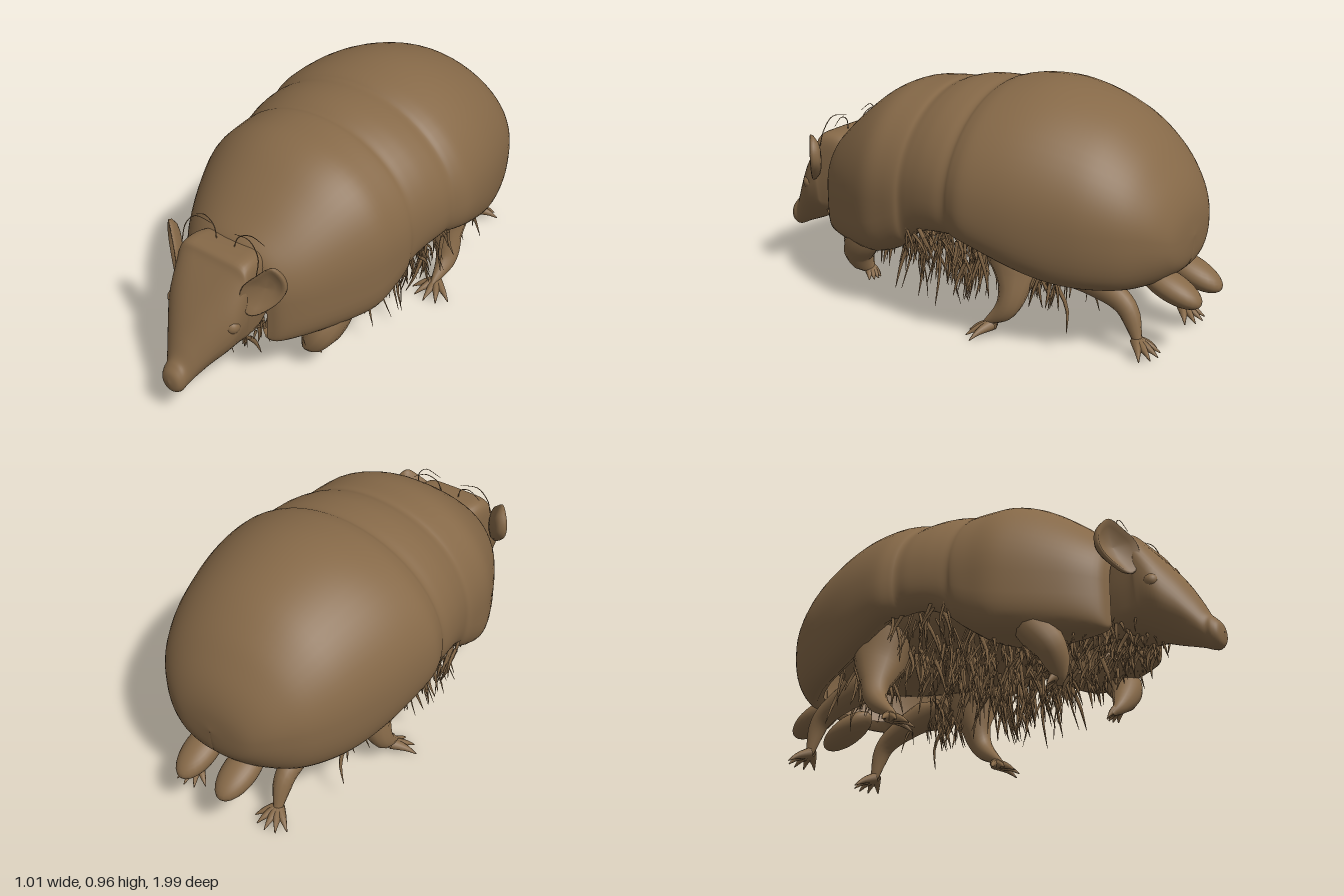
import * as THREE from 'three';
import { mergeGeometries } from 'three/addons/utils/BufferGeometryUtils.js';

const V = (x, y, z) => new THREE.Vector3(x, y, z);

// skin over a list of equally sized rings of points
function loft(rings, closed) {
  const n = rings[0].length, idx = [];
  for (let i = 0; i < rings.length - 1; i++) {
    for (let j = 0; j < (closed ? n : n - 1); j++) {
      const a = i * n + j, b = i * n + (j + 1) % n, c = a + n, d = b + n;
      idx.push(a, b, c, b, d, c);
    }
  }
  const g = new THREE.BufferGeometry().setFromPoints(rings.flat());
  g.setIndex(idx);
  g.computeVertexNormals();
  return g;
}

// smooth in-between values for rows of six numbers
function smoothRows(rows, steps) {
  const curve = k => new THREE.CatmullRomCurve3(rows.map(r => V(r[k], r[k + 1], r[k + 2])), false, 'catmullrom', 0.5);
  const a = curve(0), b = curve(3), out = [];
  for (let i = 0; i <= steps; i++) out.push([...a.getPoint(i / steps).toArray(), ...b.getPoint(i / steps).toArray()]);
  return out;
}

// tube whose radius follows a list of values
function limb(points, radii, seg = 24, sides = 12) {
  const curve = new THREE.CatmullRomCurve3(points.map(p => V(...p)));
  const g = new THREE.TubeGeometry(curve, seg, 1, sides), pos = g.attributes.position, v = V();
  for (let i = 0; i <= seg; i++) {
    const c = curve.getPointAt(i / seg), f = i / seg * (radii.length - 1);
    const k = Math.min(Math.floor(f), radii.length - 2);
    const r = THREE.MathUtils.lerp(radii[k], radii[k + 1], f - k);
    for (let j = 0; j <= sides; j++) {
      const q = i * (sides + 1) + j;
      v.fromBufferAttribute(pos, q).sub(c).multiplyScalar(r).add(c);
      pos.setXYZ(q, v.x, v.y, v.z);
    }
  }
  return g;
}

// arched shell: z, top, bottom, half width, height of widest point, inner edge share
function shellGeometry() {
  const rows = [
    [0.645, 0.59, 0.25, 0.175, 0.42, 0.95], [0.625, 0.63, 0.23, 0.23, 0.42, 0.74],
    [0.56, 0.69, 0.225, 0.292, 0.43, 0.58], [0.47, 0.768, 0.223, 0.35, 0.445, 0.5],
    [0.37, 0.842, 0.226, 0.402, 0.46, 0.48], [0.28, 0.882, 0.236, 0.437, 0.48, 0.52],
    [0.19, 0.895, 0.268, 0.448, 0.49, 0.62], [0.13, 0.9, 0.31, 0.452, 0.5, 0.75],
    [0.1, 0.897, 0.335, 0.447, 0.52, 0.8], [0.06, 0.912, 0.37, 0.455, 0.53, 0.82],
    [0, 0.925, 0.4, 0.467, 0.54, 0.85], [-0.07, 0.928, 0.41, 0.477, 0.54, 0.85],
    [-0.12, 0.925, 0.41, 0.478, 0.54, 0.85], [-0.15, 0.938, 0.405, 0.49, 0.54, 0.85],
    [-0.21, 0.953, 0.395, 0.504, 0.535, 0.85], [-0.32, 0.962, 0.35, 0.494, 0.53, 0.82],
    [-0.43, 0.95, 0.31, 0.475, 0.52, 0.8], [-0.55, 0.914, 0.28, 0.443, 0.51, 0.78],
    [-0.66, 0.86, 0.268, 0.404, 0.5, 0.72], [-0.76, 0.778, 0.265, 0.347, 0.49, 0.6],
    [-0.83, 0.692, 0.275, 0.281, 0.48, 0.35], [-0.878, 0.612, 0.3, 0.212, 0.46, 0.05],
    [-0.905, 0.53, 0.345, 0.135, 0.44, 0], [-0.914, 0.437, 0.434, 0.001, 0.435, 0],
  ];
  const rings = smoothRows(rows, 92).map(([z, top, bot, w, c, k]) => {
    const half = [V(w * Math.max(k - 0.1, 0), bot + Math.min(0.04, (c - bot) * 0.4), z)];
    // the front shield is boxier than the rear dome
    const boxy = THREE.MathUtils.smoothstep(z, 0.02, 0.28), low = 0.85 - 0.33 * boxy, high = 1 - 0.07 * boxy;
    for (let i = 10; i > 0; i--) {
      const t = i / 10 * Math.PI / 2, cos = Math.max(Math.cos(t), 0);
      half.push(V(w * (k + (1 - k) * cos ** low), c - (c - bot) * Math.sin(t) ** low, z));
    }
    for (let i = 0; i <= 14; i++) {
      const t = i / 14 * Math.PI / 2, cos = Math.max(Math.cos(t), 0);
      half.push(V(w * cos ** high, c + (top - c) * Math.sin(t) ** high, z));
    }
    return [...half, ...half.slice(0, -1).reverse().map(q => V(-q.x, q.y, q.z))];
  });
  return loft(rings, false);
}

// wedge head: z, top, bottom, half width, roundness, lower taper
function headGeometry() {
  const rows = [
    [0.55, 0.6, 0.27, 0.14, 0.5, 0.4], [0.64, 0.62, 0.245, 0.158, 0.3, 0.4], [0.72, 0.615, 0.235, 0.166, 0.3, 0.45],
    [0.75, 0.58, 0.225, 0.17, 0.45, 0.45], [0.81, 0.505, 0.195, 0.158, 0.7, 0.45], [0.87, 0.42, 0.17, 0.115, 0.85, 0.35],
    [0.92, 0.335, 0.15, 0.076, 1, 0.1], [0.95, 0.275, 0.135, 0.055, 1, 0], [0.972, 0.25, 0.13, 0.052, 1, 0],
    [0.992, 0.225, 0.145, 0.037, 1, 0], [1.0, 0.19, 0.182, 0.001, 1, 0],
  ];
  const pw = (v, p) => Math.sign(v) * Math.abs(v) ** p;
  return loft(smoothRows(rows, 50).map(([z, top, bot, w, p, taper]) => {
    const ring = [], cy = (top + bot) / 2, h = (top - bot) / 2;
    for (let i = 0; i < 40; i++) {
      const t = i / 40 * Math.PI * 2, s = Math.sin(t);
      ring.push(V(w * pw(Math.cos(t), p) * (1 + taper * Math.min(s, 0)), cy + h * pw(s, p), z));
    }
    return ring;
  }), true);
}

// cupped leaf-shaped ear, swept back towards its outer edge
function earGeometry() {
  const outline = new THREE.CatmullRomCurve3([
    V(0.16, 0.55, 0), V(0.2, 0.6, 0), V(0.245, 0.635, 0), V(0.28, 0.59, 0), V(0.284, 0.525, 0),
    V(0.25, 0.465, 0), V(0.185, 0.42, 0), V(0.155, 0.46, 0)], true).getPoints(40).slice(0, -1);
  // front cup out to the rim, then the rounded back
  const rings = [[0.001, -0.025], [0.4, -0.02], [0.75, -0.006], [0.93, 0.008], [1, 0.004], [0.95, -0.012], [0.7, -0.035], [0.4, -0.045], [0.001, -0.048]];
  return loft(rings.map(([s, dz]) => outline.map(p => {
    const x = 0.215 + (p.x - 0.215) * s, y = 0.53 + (p.y - 0.53) * s;
    return V(x, y, 0.75 - (x - 0.165) * 0.75 + dz);
  })), true);
}

// seeded tufts of fine tapering strands
function hairGeometry() {
  let seed = 7;
  const rnd = () => (seed = (seed * 16807) % 2147483647) / 2147483647;
  const span = (a, b) => a + (b - a) * rnd();
  // count, x range, root height range, z range, length range
  const zones = [
    [100, 0.03, 0.36, 0.28, 0.34, -0.18, 0.2, 0.08, 0.24], [24, 0.38, 0.45, 0.36, 0.43, -0.16, 0.1, 0.06, 0.18],
    [70, 0.05, 0.24, 0.24, 0.31, 0.2, 0.58, 0.04, 0.12], [35, 0.02, 0.13, 0.23, 0.28, 0.55, 0.72, 0.03, 0.09],
    [40, 0.1, 0.34, 0.26, 0.34, -0.52, -0.36, 0.06, 0.18],
  ];
  const parts = [];
  for (const [n, x0, x1, y0, y1, z0, z1, l0, l1] of zones) {
    for (let i = 0; i < n; i++) {
      const [x, y, z] = [span(x0, x1), span(y0, y1), span(z0, z1)], len = span(l0, l1);
      const dx = span(-0.25, 0.35) * len, dz = span(-0.6, 0.35) * len, r = span(0.004, 0.01);
      parts.push(limb([[x, y, z], [x + dx * 0.2, y - len * 0.5, z + dz * 0.8], [x + dx, y - len, z + dz]],
        [r, r, r * 0.7, 0.001], 5, 4));
    }
  }
  return mergeGeometries(parts);
}

export function createModel() {
  const model = new THREE.Group();
  model.name = 'armadillo';
  const brown = new THREE.MeshStandardMaterial({ color: 0x866948, side: THREE.DoubleSide });
  brown.name = 'earthBrown';
  const add = (parent, name, geo) => {
    const m = new THREE.Mesh(geo, brown);
    m.name = name;
    parent.add(m);
    return m;
  };

  add(model, 'shell', shellGeometry());
  add(model, 'head', headGeometry());
  const belly = add(model, 'belly', new THREE.SphereGeometry(1, 32, 20));
  belly.scale.set(0.36, 0.16, 0.7);
  belly.position.set(0, 0.465, -0.1);

  const ear = earGeometry(), hair = hairGeometry(), ball = new THREE.SphereGeometry(1, 24, 16);
  for (const side of [1, -1]) {
    const half = new THREE.Group();
    half.name = side > 0 ? 'leftSide' : 'rightSide';
    half.scale.x = side;
    model.add(half);

    add(half, 'ear', ear);
    const eye = add(half, 'eye', ball);
    eye.scale.setScalar(0.03);
    eye.position.set(0.14, 0.39, 0.795);
    add(half, 'hair', hair);

    // legs: path, thickness, toe fan origin, reach, direction and spread
    const legs = [
      ['frontLeg', [[0.27, 0.36, 0.34], [0.29, 0.27, 0.38], [0.265, 0.185, 0.44], [0.205, 0.1, 0.44], [0.18, 0.07, 0.42]],
        [0.03, 0.07, 0.068, 0.05, 0.01], [0.205, 0.1, 0.44], 0.05, -1, 0.45],
      ['hindLeg', [[0.29, 0.42, -0.32], [0.31, 0.28, -0.34], [0.34, 0.14, -0.32], [0.34, 0.05, -0.22]],
        [0.12, 0.11, 0.06, 0.04, 0.01], [0.34, 0.05, -0.25], 0.1, 1, 0.55],
      ['trailingLeg', [[0.2, 0.3, -0.42], [0.2, 0.26, -0.6], [0.2, 0.19, -0.74], [0.2, 0.05, -0.8]],
        [0.03, 0.065, 0.055, 0.045, 0.035, 0.015], [0.2, 0.06, -0.79], 0.09, -1, 0.5],
    ];
    for (const [name, path, radii, [x, y, z], reach, dir, spread] of legs) {
      const leg = new THREE.Group();
      leg.name = name;
      half.add(leg);
      add(leg, 'limb', limb(path, radii));
      for (let i = -2; i <= 2; i++) {
        const tx = Math.sin(i * spread) * reach, tz = Math.cos(i * spread) * reach * dir;
        add(leg, 'toe', limb([[x, y, z], [x + tx * 0.6, y - 0.02, z + tz * 0.6], [x + tx, Math.max(y - 0.045, 0.005), z + tz]],
          [0.024, 0.018, 0.01, 0.002], 8, 8));
      }
    }

    // blunt tail lobe drooping backwards
    const lobe = add(half, 'tailLobe', ball);
    lobe.scale.set(0.07, 0.052, 0.135);
    lobe.position.set(0.095, 0.258, -0.868);
    lobe.rotation.x = -0.4;

    // long feelers on the crown
    add(half, 'feeler', limb([[0.04, 0.61, 0.66], [0.06, 0.665, 0.65], [0.11, 0.685, 0.64], [0.165, 0.66, 0.63]], [0.002, 0.002, 0.001], 14, 5));
    add(half, 'feeler', limb([[0.18, 0.57, 0.7], [0.175, 0.64, 0.68], [0.13, 0.69, 0.67], [0.05, 0.68, 0.66]], [0.002, 0.002, 0.001], 14, 5));
  }
  return model;
}
